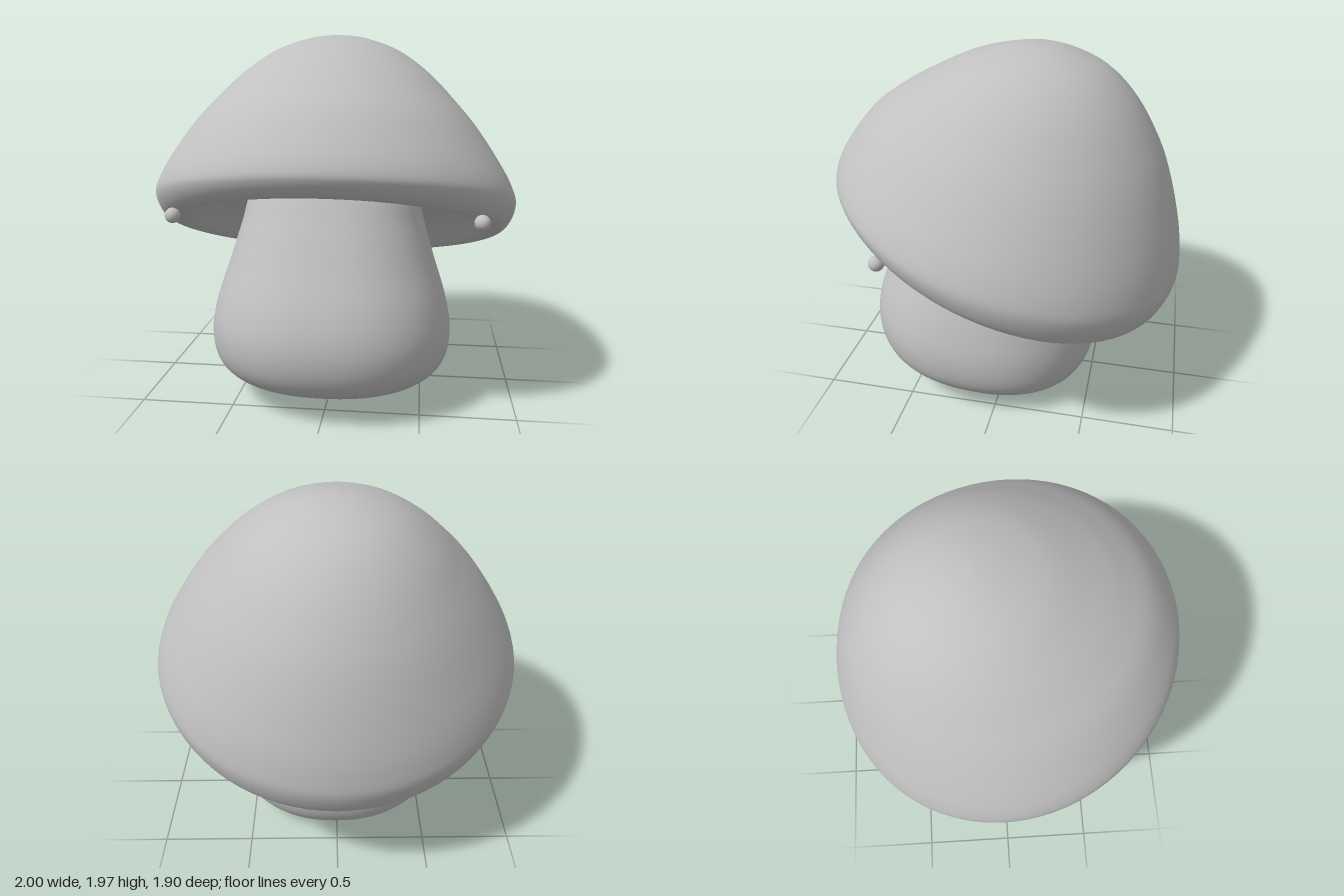
import * as THREE from 'three';
import { mergeVertices } from 'three/addons/utils/BufferGeometryUtils.js';

// Smooth skin over tilted rings, listed from top to bottom.
// Each ring: [front z, front y, back z, back y, half width]; power > 2 squares it off.
function loft(rings, power = 2, rows = 72, cols = 80) {
  const curve = (pick) => new THREE.CatmullRomCurve3(
    rings.map((r) => new THREE.Vector3(...pick(r))), false, 'catmullrom', 0.5);
  const front = curve((r) => [r[4], r[1], r[0]]);
  const back = curve((r) => [0, r[3], r[2]]);
  const round = (v) => Math.sign(v) * Math.pow(Math.abs(v), 2 / power);
  const positions = [], index = [];
  for (let i = 0; i <= rows; i++) {
    const f = front.getPoint(i / rows), b = back.getPoint(i / rows);
    for (let j = 0; j < cols; j++) {
      const a = (j / cols) * Math.PI * 2;
      const k = (1 + round(Math.cos(a))) / 2;
      positions.push(Math.max(f.x, 0) * round(Math.sin(a)), b.y + (f.y - b.y) * k, b.z + (f.z - b.z) * k);
      if (i === rows) continue;
      const n = (j + 1) % cols, p = i * cols, q = p + cols;
      index.push(p + j, q + j, q + n, p + j, q + n, p + n);
    }
  }
  let geometry = new THREE.BufferGeometry();
  geometry.setAttribute('position', new THREE.Float32BufferAttribute(positions, 3));
  geometry.setIndex(index);
  geometry = mergeVertices(geometry, 1e-5);
  geometry.computeVertexNormals();
  return geometry;
}

export function createModel() {
  const group = new THREE.Group();
  const grey = new THREE.MeshStandardMaterial({ color: 0xc0c0c0 });
  grey.name = 'plain grey';

  const add = (name, geometry) => {
    const mesh = new THREE.Mesh(geometry, grey);
    mesh.name = name;
    group.add(mesh);
    return mesh;
  };

  // Tilted cap: dome, rolled rim, then the hollow underside
  add('cap', loft([
    [-0.115, 1.974, -0.115, 1.974, 0],
    [0.03, 1.958, -0.283, 1.948, 0.16],
    [0.24, 1.906, -0.49, 1.854, 0.35],
    [0.45, 1.81, -0.65, 1.697, 0.52],
    [0.607, 1.723, -0.78, 1.478, 0.66],
    [0.764, 1.61, -0.86, 1.27, 0.79],
    [0.895, 1.45, -0.925, 1.01, 0.925],
    [0.948, 1.347, -0.947, 0.84, 0.99],
    [0.942, 1.29, -0.942, 0.73, 1.0],
    [0.9, 1.235, -0.885, 0.606, 0.965],
    [0.85, 1.21, -0.806, 0.56, 0.91],
    [0.78, 1.205, -0.73, 0.59, 0.83],
    [0.68, 1.24, -0.63, 0.7, 0.73],
    [0.5, 1.24, -0.47, 0.83, 0.55],
    [0.02, 1.05, 0.02, 1.05, 0],
  ]));

  // Plump stem with a bulging front and rounded, slightly tilted base
  add('stem', loft([
    [0, 1.22, 0, 1.22, 0],
    [0.3, 1.25, -0.25, 1.12, 0.34],
    [0.45, 1.2, -0.37, 1.0, 0.46],
    [0.555, 1.02, -0.42, 0.85, 0.51],
    [0.66, 0.81, -0.455, 0.7, 0.565],
    [0.764, 0.59, -0.49, 0.51, 0.63],
    [0.8, 0.41, -0.508, 0.33, 0.66],
    [0.764, 0.25, -0.487, 0.17, 0.63],
    [0.66, 0.146, -0.41, 0.057, 0.52],
    [0.45, 0.068, -0.28, 0.012, 0.34],
    [0.2, 0.03, -0.1, 0.004, 0.14],
    [0.03, 0.005, 0.03, 0.005, 0],
  ], 2.25));

  // Small knobs on the rim, mirrored
  for (const side of [1, -1]) {
    add(side > 0 ? 'leftKnob' : 'rightKnob', new THREE.SphereGeometry(0.04, 24, 16))
      .position.set(side * 0.785, 1.045, 0.515);
  }
  return group;
}
